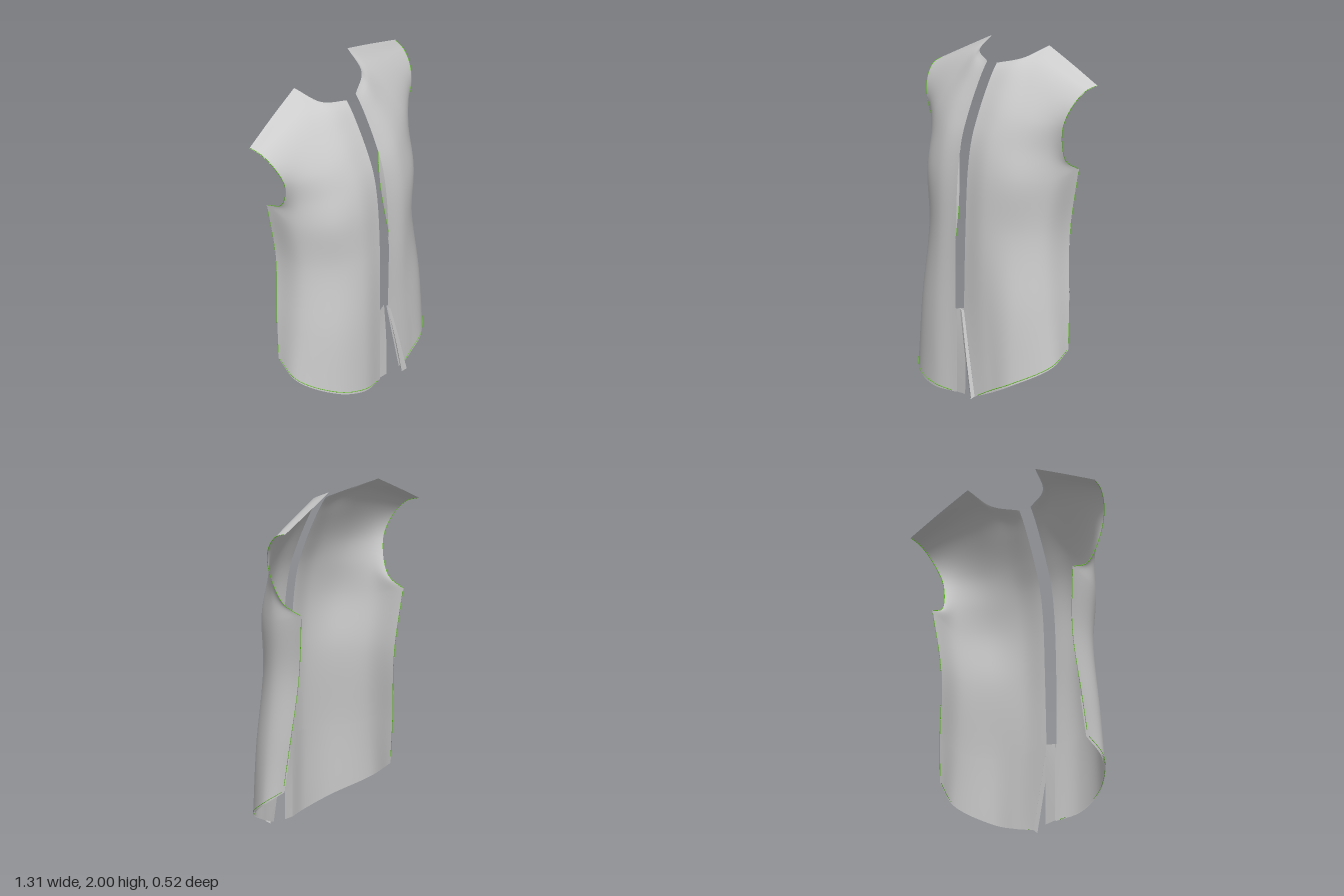
import * as THREE from 'three';

const cloth = new THREE.MeshStandardMaterial({ color: 0xcccccc, side: THREE.DoubleSide });
const thread = new THREE.MeshStandardMaterial({ color: 0x66cc22 });
const V = (p) => new THREE.Vector3(...p);

// Cross-sections of one front half, hem to shoulder; each runs centre edge -> side edge
const ROWS = [
  [[0.04, 0.02, 0.208], [0.2, 0.04, 0.23], [0.38, 0.1, 0.173], [0.535, 0.2, 0.0], [0.525, 0.29, -0.14]],
  [[0.04, 0.5, 0.21], [0.2, 0.5, 0.224], [0.37, 0.5, 0.16], [0.5, 0.52, 0.0], [0.505, 0.54, -0.17]],
  [[0.04, 0.95, 0.208], [0.19, 0.95, 0.205], [0.345, 0.95, 0.128], [0.465, 0.95, -0.02], [0.467, 0.95, -0.21]],
  [[0.04, 1.3, 0.19], [0.2, 1.28, 0.192], [0.37, 1.26, 0.122], [0.492, 1.26, -0.04], [0.498, 1.32, -0.25]],
  [[0.04, 1.48, 0.16], [0.2, 1.47, 0.156], [0.37, 1.44, 0.088], [0.485, 1.41, -0.025], [0.515, 1.385, -0.13]],
  [[0.04, 1.62, 0.11], [0.2, 1.62, 0.102], [0.36, 1.61, 0.05], [0.485, 1.6, -0.015], [0.562, 1.58, -0.065]],
  [[0.04, 1.76, 0.046], [0.17, 1.77, 0.028], [0.31, 1.77, -0.02], [0.47, 1.74, -0.06], [0.61, 1.71, -0.095]],
  [[0.04, 1.85, -0.002], [0.16, 1.88, -0.04], [0.27, 1.91, -0.12], [0.45, 1.862, -0.15], [0.642, 1.795, -0.17]],
  [[0.04, 1.9, -0.035], [0.182, 1.938, -0.108], [0.24, 2.0, -0.258], [0.445, 1.912, -0.255], [0.655, 1.82, -0.247]],
];

// Smooth curve through points, with an optional sharp corner at one of them
function spline(points, corner) {
  if (!corner) {
    const c = new THREE.CatmullRomCurve3(points);
    return (t) => c.getPoint(t);
  }
  const k = corner / (points.length - 1);
  const a = spline(points.slice(0, corner + 1)), b = spline(points.slice(corner));
  return (t) => (t < k ? a(t / k) : b((t - k) / (1 - k)));
}

// Panel surface: columns are splined upward, then joined across
function panelSurface(rows) {
  const corners = [1, 0, 0, 0, 3]; // front opening bend and underarm point
  const columns = corners.map((c, i) => spline(rows.map((r) => V(r[i])), c));
  return (u, v) => {
    const pts = columns.map((c) => c(v));
    const smooth = spline(pts)(u);
    // the neck point becomes a sharp corner towards the top
    return smooth.lerp(spline(pts, 2)(u), THREE.MathUtils.smoothstep(v, 0.85, 1));
  };
}

function sheet(name, surface, nu, nv, side) {
  const pos = [], index = [];
  for (let j = 0; j <= nv; j++) {
    for (let i = 0; i <= nu; i++) {
      const p = surface(i / nu, j / nv);
      pos.push(p.x * side, p.y, p.z);
      if (i === nu || j === nv) continue;
      const a = j * (nu + 1) + i, b = a + 1, c = a + nu + 1, d = c + 1;
      if (side > 0) index.push(a, b, d, a, d, c);
      else index.push(a, d, b, a, c, d);
    }
  }
  const g = new THREE.BufferGeometry();
  g.setAttribute('position', new THREE.Float32BufferAttribute(pos, 3));
  g.setIndex(index);
  g.computeVertexNormals();
  const mesh = new THREE.Mesh(g, cloth);
  mesh.name = name;
  return mesh;
}

// Strip between two edges given as point lists
function strip(name, edgeA, edgeB) {
  const a = spline(edgeA.map(V)), b = spline(edgeB.map(V));
  return sheet(name, (u, v) => a(v).lerp(b(v), u), 2, 12, 1);
}

// Fine seam thread along an edge of the panel
function seam(name, edge, side) {
  const pts = [];
  for (let i = 0; i <= 24; i++) {
    const p = edge(i / 24);
    p.x *= side;
    pts.push(p);
  }
  const curve = new THREE.CatmullRomCurve3(pts);
  const mesh = new THREE.Mesh(new THREE.TubeGeometry(curve, 48, 0.002, 4), thread);
  mesh.name = name;
  return mesh;
}

function frontHalf(label, rows, side) {
  const half = new THREE.Group();
  half.name = label + 'Front';
  const surface = panelSurface(rows);
  half.add(sheet(label + 'Panel', surface, 32, 64, side));

  // lining of the lower part, just inside the panel
  const lining = (u, v) => {
    const p = surface(u, v / 8);
    const inward = new THREE.Vector3(-p.x, 0, -p.z - 0.25).setLength(0.01);
    return p.add(inward);
  };
  half.add(sheet(label + 'HemLining', lining, 32, 8, side));

  // seams at hem, side and armhole
  half.add(seam(label + 'HemSeam', (t) => surface(0.04 + 0.94 * t, 0.004), side));
  half.add(seam(label + 'SideSeam', (t) => surface(0.997, 0.02 + 0.35 * t), side));
  half.add(seam(label + 'ArmholeSeam', (t) => surface(0.997, 0.38 + 0.61 * t), side));
  return half;
}

export function createModel() {
  const model = new THREE.Group();
  model.name = 'garmentFront';

  // right half, with a straight underlap continuing its lining across the opening
  const right = frontHalf('right', ROWS, -1);
  right.add(strip('underlap',
    [[-0.039, 0.02, 0.198], [-0.039, 0.26, 0.199], [-0.039, 0.5, 0.2]],
    [[0.03, 0.015, 0.2], [0.03, 0.26, 0.198], [0.02, 0.51, 0.19]]));
  model.add(right);

  // left half lies a little flatter, its lower front edge swung open
  const leftRows = ROWS.map((r) => r.map((p) => [...p]));
  leftRows[1][1][2] -= 0.018;
  leftRows[0][0] = [0.13, 0.015, 0.22];
  leftRows[0][1] = [0.25, 0.05, 0.204];
  leftRows[1][0] = [0.03, 0.5, 0.21];
  const left = frontHalf('left', leftRows, 1);
  // edge band turned outward in front of the panel
  const fold = [[0.012, 0.51, 0.225], [0.065, 0.26, 0.236], [0.118, 0.0, 0.24]];
  left.add(strip('turnedEdge', fold,
    [[0.03, 0.5, 0.228], [0.085, 0.26, 0.246], [0.14, 0.015, 0.258]]));
  left.add(strip('turnedEdgeFold', fold,
    [[0.03, 0.5, 0.21], [0.08, 0.26, 0.216], [0.13, 0.015, 0.22]]));
  model.add(left);

  return model;
}
